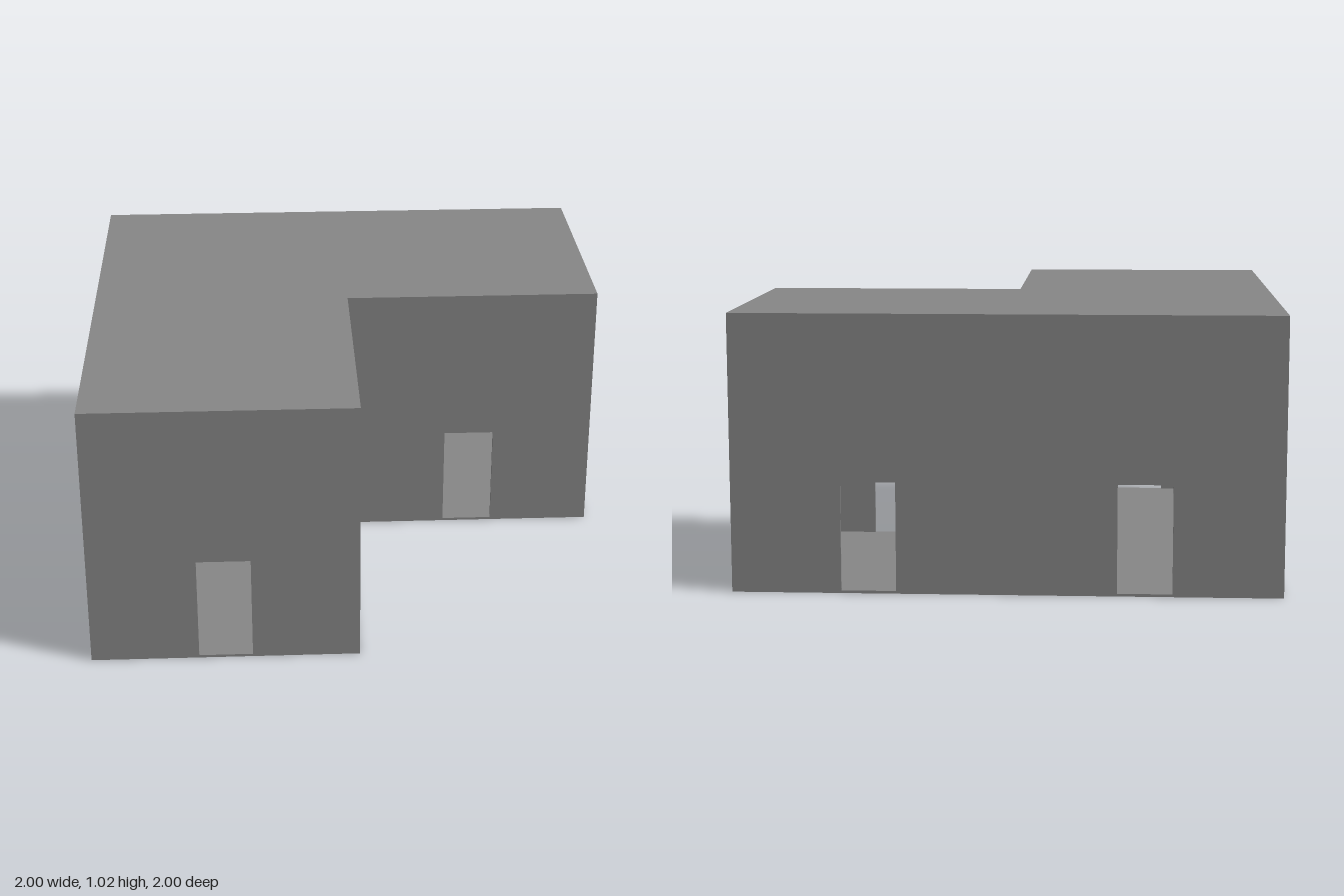
import * as THREE from 'three';

const T = 0.01;          // thickness of walls, floor and roof
const WALL_H = 1;
const DOOR_W = 0.2, DOOR_H = 0.4;

// L-shaped plan as [x, z] corners, each wall running left to right seen from outside
const PLAN = [[-1, 1], [0, 1], [0, 0], [1, 0], [1, -1], [-1, -1]];
const INNER_CORNER = 2;

export function createModel() {
  const group = new THREE.Group();
  const material = new THREE.MeshStandardMaterial({ color: 0x868686 });

  const add = (name, geometry) => {
    const mesh = new THREE.Mesh(geometry, material);
    mesh.name = name;
    group.add(mesh);
    return mesh;
  };

  // Floor and roof slabs
  const slab = (name, y) => {
    const shape = new THREE.Shape(PLAN.map(([x, z]) => new THREE.Vector2(x, -z)));
    const geometry = new THREE.ExtrudeGeometry(shape, { depth: T, bevelEnabled: false });
    geometry.rotateX(-Math.PI / 2);
    add(name, geometry).position.y = y;
  };
  slab('floor', 0);
  slab('roof', T + WALL_H);

  // Walls with one doorway per unit of length
  PLAN.forEach(([x, z], i) => {
    const [x2, z2] = PLAN[(i + 1) % PLAN.length];
    const length = Math.hypot(x2 - x, z2 - z);
    const start = i === INNER_CORNER ? -T : T;   // butt against the previous wall
    const shape = new THREE.Shape();
    shape.moveTo(start, 0);
    for (let c = 0.5; c < length; c++) {
      shape.lineTo(c - DOOR_W / 2, 0);
      shape.lineTo(c - DOOR_W / 2, DOOR_H);
      shape.lineTo(c + DOOR_W / 2, DOOR_H);
      shape.lineTo(c + DOOR_W / 2, 0);
    }
    shape.lineTo(length, 0);
    shape.lineTo(length, WALL_H);
    shape.lineTo(start, WALL_H);
    const geometry = new THREE.ExtrudeGeometry(shape, { depth: T, bevelEnabled: false });
    geometry.translate(0, 0, -T);
    const wall = add('wall' + (i + 1), geometry);
    wall.position.set(x, T, z);
    wall.rotation.y = Math.atan2(z - z2, x2 - x);
  });

  return group;
}
